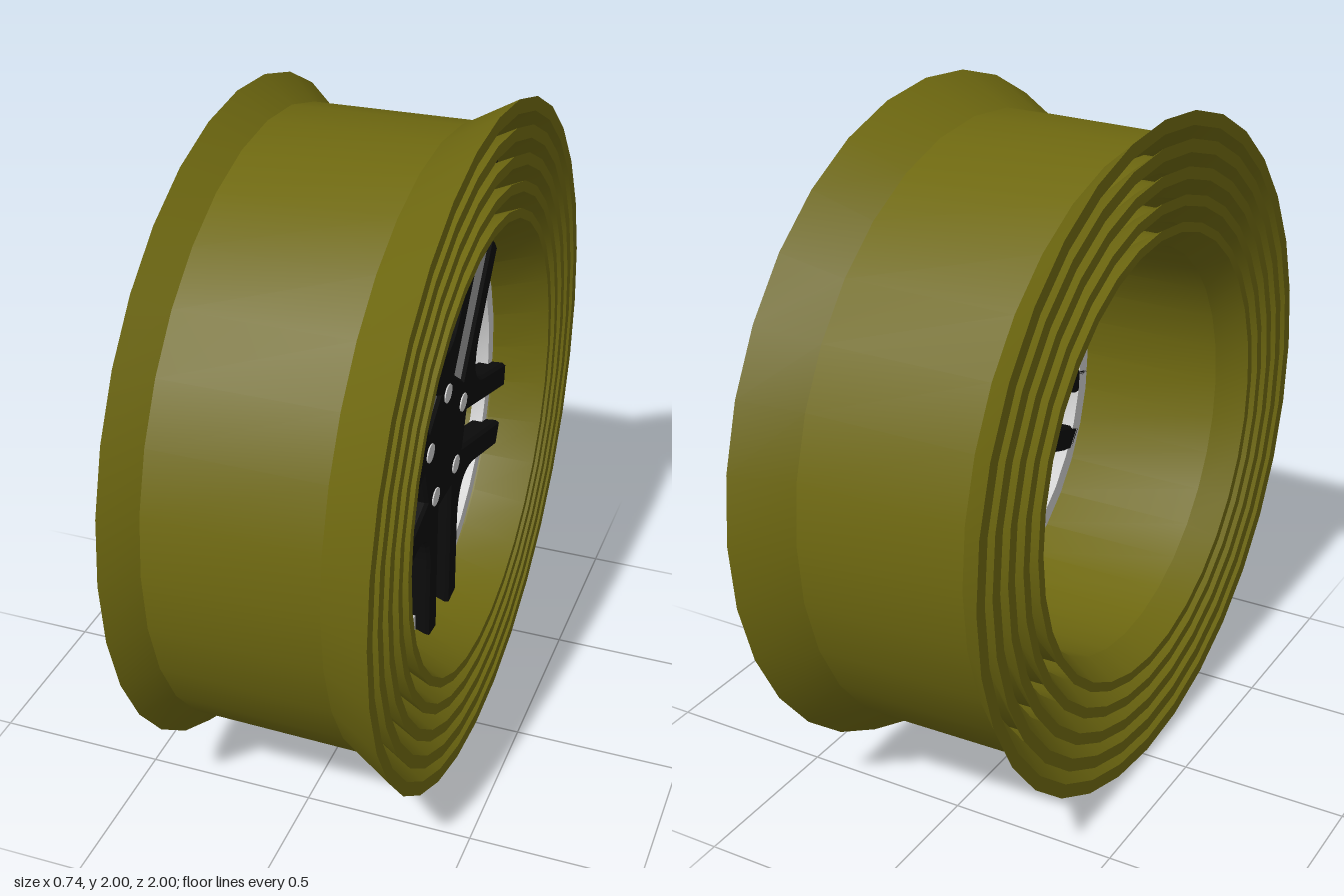
import * as THREE from 'three';
import { toCreasedNormals } from 'three/addons/utils/BufferGeometryUtils.js';

const olive = new THREE.MeshStandardMaterial({ color: 0x6e6810 });
const black = new THREE.MeshStandardMaterial({ color: 0x0c0c0c });
const grey = new THREE.MeshStandardMaterial({ color: 0xcccccc });

const SIZES = [1, 0.922, 0.845, 0.767, 0.69];

function add(parent, name, geometry, material) {
  const mesh = new THREE.Mesh(geometry, material);
  mesh.name = name;
  parent.add(mesh);
  return mesh;
}

// Closed ring about the x axis from [x, radius] points
function ring(profile, scale) {
  const pts = [...profile, profile[0]].map(([x, r]) => new THREE.Vector2(r * scale, x));
  const geo = new THREE.LatheGeometry(pts, 32).rotateZ(-Math.PI / 2);
  return toCreasedNormals(geo, 0.4);
}

// Solid disc about the x axis
function disc(radius, x0, x1, sides = 32) {
  return new THREE.CylinderGeometry(radius, radius, x1 - x0, sides)
    .rotateZ(-Math.PI / 2).translate((x0 + x1) / 2, 0, 0);
}

// Hub plate with five pairs of parallel spokes
function spokeGeometry() {
  const R = 0.865, inner = 0.055, outer = 0.135, hub = 0.19, step = Math.PI * 2 / 5;
  const shape = new THREE.Shape();
  for (let i = 0; i < 5; i++) {
    const a = -Math.PI / 2 + i * step;
    const at = (u, v) => [u * Math.cos(a) - v * Math.sin(a), u * Math.sin(a) + v * Math.cos(a)];
    const corners = [[0.36, -outer], [R, -outer], [R, -inner], [hub, -inner],
      [hub, inner], [R, inner], [R, outer], [0.36, outer]];
    corners.forEach(([u, v], k) => {
      if (i === 0 && k === 0) shape.moveTo(...at(u, v));
      else if (k > 0) shape.lineTo(...at(u, v));
    });
    // Rounded web to the next pair
    const mid = a + step / 2, b = a + step;
    shape.quadraticCurveTo(0.225 * Math.cos(mid), 0.225 * Math.sin(mid),
      0.36 * Math.cos(b) + outer * Math.sin(b), 0.36 * Math.sin(b) - outer * Math.cos(b));
  }
  const geo = new THREE.ExtrudeGeometry(shape, {
    depth: 0.06, curveSegments: 10, bevelEnabled: true,
    bevelThickness: 0.01, bevelSize: 0.008, bevelOffset: -0.008, bevelSegments: 1,
  });
  return geo.rotateY(Math.PI / 2).translate(0.175, 0, 0);
}

export function createModel() {
  const model = new THREE.Group();
  const wheel = new THREE.Group();
  wheel.name = 'nestedWheels';
  wheel.position.y = 1;
  model.add(wheel);

  const rimProfile = [[-0.37, 0.98], [-0.285, 0.905], [0.21, 0.912], [0.365, 1],
    [0.365, 0.96], [0.21, 0.87], [-0.285, 0.865], [-0.37, 0.94]];
  const seatProfile = [[0.165, 0.872], [0.205, 0.872], [0.205, 0.8], [0.165, 0.8]];

  SIZES.forEach((s, i) => {
    // Flared barrel and the ring the spokes sit on
    add(wheel, `rim${i + 1}`, ring(rimProfile, s), olive);
    add(wheel, `spokeSeat${i + 1}`, ring(seatProfile, s), grey);

    // Stepped hub
    const x = 0.12 + i * 0.016;
    add(wheel, `hubStep${i + 1}`, disc(0.29 * s, 0.08, x), grey);
    add(wheel, `hubBand${i + 1}`, disc(0.28 * s, x, x + 0.008), black);

    // Air valve on the flare
    const a = -0.26, r = 0.885 * s;
    const valve = add(wheel, `valve${i + 1}`, disc(0.008, 0.21, 0.27, 8), grey);
    valve.position.set(0, r * Math.sin(a), r * Math.cos(a));
  });

  add(wheel, 'spokes', spokeGeometry(), black);

  // Wheel bolts
  for (let i = 0; i < 5; i++) {
    const a = Math.PI / 2 + i * Math.PI * 2 / 5;
    const bolt = add(wheel, `bolt${i + 1}`, disc(0.032, 0.2, 0.249, 12), grey);
    bolt.position.set(0, 0.16 * Math.sin(a), 0.16 * Math.cos(a));
    bolt.scale.y = 0.85;
  }
  return model;
}
